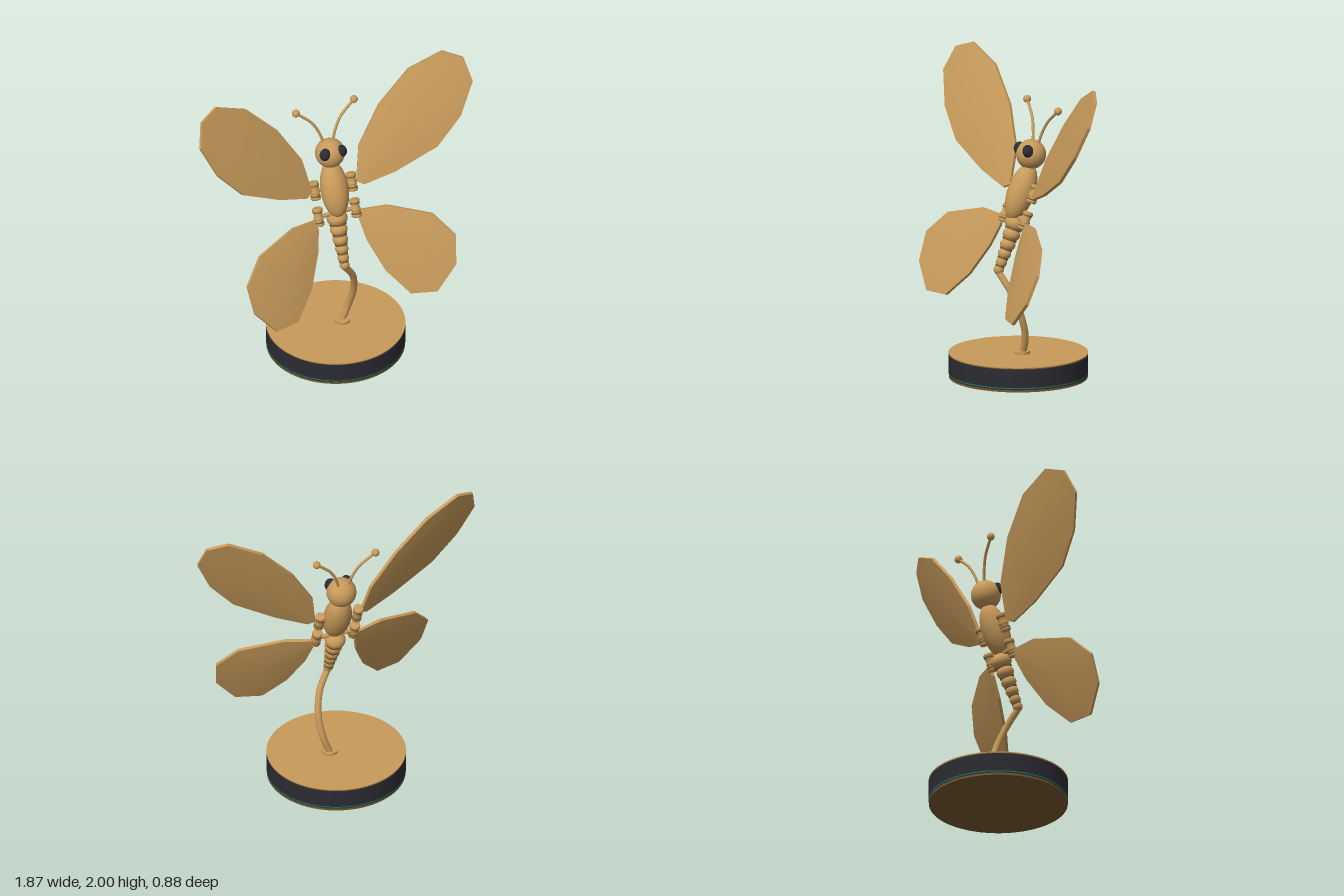
import * as THREE from 'three';

const mat = (name, color) => {
  const m = new THREE.MeshStandardMaterial({ color });
  m.name = name;
  return m;
};

export function createModel() {
  const brass = mat('brass', 0xc79a5a);
  const brown = mat('darkBrown', 0x76582f);
  const black = mat('black', 0x2b2b33);
  const teal = mat('teal', 0x1c7a66);
  const model = new THREE.Group();
  model.name = 'butterflyStatue';
  const TILT = -0.39; // backward lean of the body

  const add = (parent, name, geo, material, x = 0, y = 0, z = 0) => {
    const m = new THREE.Mesh(geo, material);
    m.name = name;
    m.position.set(x, y, z);
    parent.add(m);
    return m;
  };
  const disc = (r, h, seg = 32) => new THREE.CylinderGeometry(r, r, h, seg);
  const ball = (r) => new THREE.SphereGeometry(r, 32, 20);
  const tube = (pts, r) => new THREE.TubeGeometry(
    new THREE.CatmullRomCurve3(pts.map((p) => new THREE.Vector3(...p))), 32, r, 12);

  // Round base, built up in layers
  [['baseFoot', 0, 0.014, 0.438, brown], ['baseLowerBand', 0.014, 0.022, 0.438, black],
    ['baseRing', 0.022, 0.029, 0.44, teal], ['baseBand', 0.029, 0.148, 0.44, black],
    ['baseLip', 0.148, 0.154, 0.438, brown], ['baseTop', 0.154, 0.16, 0.44, brass]]
    .forEach(([name, y0, y1, r, m]) => add(model, name, disc(r, y1 - y0, 96), m, 0, (y0 + y1) / 2));

  // Curved stem and its collar
  add(model, 'stemCollar', disc(0.05, 0.018), brass, 0.045, 0.168, 0);
  add(model, 'stem', tube([[0.045, 0.16, -0.008], [0.088, 0.28, 0], [0.105, 0.42, 0.04],
    [0.077, 0.57, 0.095], [0, 0.7, 0.147]], 0.022), brass);

  // Thorax and head
  const thorax = add(model, 'thorax', ball(1), brass, 0, 1.195, -0.02);
  thorax.scale.set(0.09, 0.187, 0.085);
  thorax.rotation.x = TILT;
  add(model, 'head', ball(0.095), brass, 0, 1.43, -0.092);

  // Tapering abdomen of beads with a dark ring in each groove
  const beads = [[0.995, 0.067, 0.054], [0.927, 0.056, 0.046], [0.865, 0.049, 0.042],
    [0.808, 0.042, 0.038], [0.755, 0.036, 0.036], [0.71, 0.032, 0.033]];
  const abdomenZ = (y) => 0.02 + (1.0 - y) * 0.42;
  beads.forEach(([y, r, h], i) => {
    const b = add(model, 'abdomenSegment' + (i + 1), ball(1), brass, 0, y, abdomenZ(y));
    b.scale.set(r, h, r);
    b.rotation.x = TILT;
    if (i === 0) return;
    const [yPrev, rPrev] = beads[i - 1];
    const yRing = (y + yPrev) / 2 - 0.002;
    add(model, 'abdomenRing' + i, disc((r + rPrev) * 0.44, 0.01), brown, 0, yRing, abdomenZ(yRing))
      .rotation.x = TILT;
  });

  // Slightly domed wing plate, its middle on the plane z = z0 + a(x - x0) + b(y - y0)
  function wing(outline, [x0, y0, z0, a, b], side) {
    const n = outline.length, rings = 6, half = 0.01, dome = 0.013;
    const cx = outline.reduce((s, p) => s + p[0], 0) / n;
    const cy = outline.reduce((s, p) => s + p[1], 0) / n;
    const normal = new THREE.Vector3(-a, -b, 1).normalize();
    const pos = [], idx = [];
    const vertex = (p, t, face) => {
      const x = cx + (p[0] - cx) * t, y = cy + (p[1] - cy) * t;
      const v = new THREE.Vector3(x, y, z0 + a * (x - x0) + b * (y - y0))
        .addScaledVector(normal, face * (half + dome * (1 - t * t)));
      pos.push(side * v.x, v.y, v.z);
    };
    const tri = (i, j, k, flip) => (flip ? idx.push(i, k, j) : idx.push(i, j, k));
    // Front and back faces; the outline runs anticlockwise on the +x side
    for (const face of [1, -1]) {
      const start = pos.length / 3, flip = face * side < 0;
      for (let r = 0; r <= rings; r++) for (const p of outline) vertex(p, r / rings, face);
      for (let r = 0; r < rings; r++) for (let i = 0; i < n; i++) {
        const j = (i + 1) % n, p = start + r * n, q = p + n;
        tri(p + i, q + i, q + j, flip);
        if (r > 0) tri(p + i, q + j, p + j, flip);
      }
    }
    // Rim with hard corners
    for (let i = 0; i < n; i++) {
      const s = pos.length / 3, p = outline[i], q = outline[(i + 1) % n];
      vertex(p, 1, 1); vertex(p, 1, -1); vertex(q, 1, -1); vertex(q, 1, 1);
      tri(s, s + 1, s + 2, side < 0);
      tri(s, s + 2, s + 3, side < 0);
    }
    const g = new THREE.BufferGeometry();
    g.setAttribute('position', new THREE.Float32BufferAttribute(pos, 3));
    g.setIndex(idx);
    g.computeVertexNormals();
    return g;
  }
  const upper = [[0.153, 1.21], [0.196, 1.185], [0.397, 1.259], [0.667, 1.402], [0.831, 1.587],
    [0.931, 1.799], [0.894, 1.95], [0.772, 1.996], [0.556, 1.895], [0.349, 1.68], [0.196, 1.43]];
  const lower = [[0.14, 0.96], [0.169, 0.828], [0.254, 0.638], [0.386, 0.486], [0.55, 0.486],
    [0.688, 0.643], [0.712, 0.823], [0.593, 0.963], [0.323, 1.036], [0.155, 1.022]];

  // Spool-shaped wing hinge
  const spoolProfile = [[0, -0.06], [0.027, -0.06], [0.033, -0.054], [0.033, -0.042], [0.027, -0.038],
    [0.027, -0.018], [0.032, -0.015], [0.032, -0.003], [0.027, 0.0], [0.027, 0.034],
    [0.033, 0.038], [0.033, 0.054], [0.027, 0.06], [0, 0.06]].map((p) => new THREE.Vector2(...p));

  for (const side of [1, -1]) {
    const tag = side > 0 ? 'left' : 'right';
    add(model, tag + 'UpperWing', wing(upper, [0.153, 1.21, -0.03, 0.335, -0.37], side), brass);
    add(model, tag + 'LowerWing', wing(lower, [0.14, 1.0, 0.03, 0.277, -0.4], side), brass);

    // Hinges with dark rings, and the rods that carry them
    [['Upper', 1.203, -0.04], ['Lower', 1.038, 0.02]].forEach(([level, y, z]) => {
      const hinge = new THREE.Group();
      hinge.name = tag + level + 'Hinge';
      hinge.position.set(side * 0.127, y, z);
      hinge.rotation.x = TILT;
      model.add(hinge);
      add(hinge, 'spool', new THREE.LatheGeometry(spoolProfile, 24), brass);
      for (const h of [-0.036, 0.034]) add(hinge, 'spoolRing', disc(0.032, 0.008, 24), brown, 0, h);
      add(model, tag + level + 'Rod', disc(0.014, 0.12, 16), brass, side * 0.065, y, z)
        .rotation.z = Math.PI / 2;
    });

    // Eye
    const eye = add(model, tag + 'Eye', ball(1), black, side * 0.056, 1.466, -0.038);
    eye.scale.set(0.034, 0.041, 0.035);
    eye.rotation.z = side * 0.3;

    // Antenna with a ball tip
    add(model, tag + 'Antenna', tube([[side * 0.033, 1.5, -0.125], [side * 0.055, 1.57, -0.138],
      [side * 0.1, 1.65, -0.155], [side * 0.197, 1.738, -0.174]], 0.009), brass);
    add(model, tag + 'AntennaTip', ball(0.025), brass, side * 0.198, 1.738, -0.175);
  }
  return model;
}
